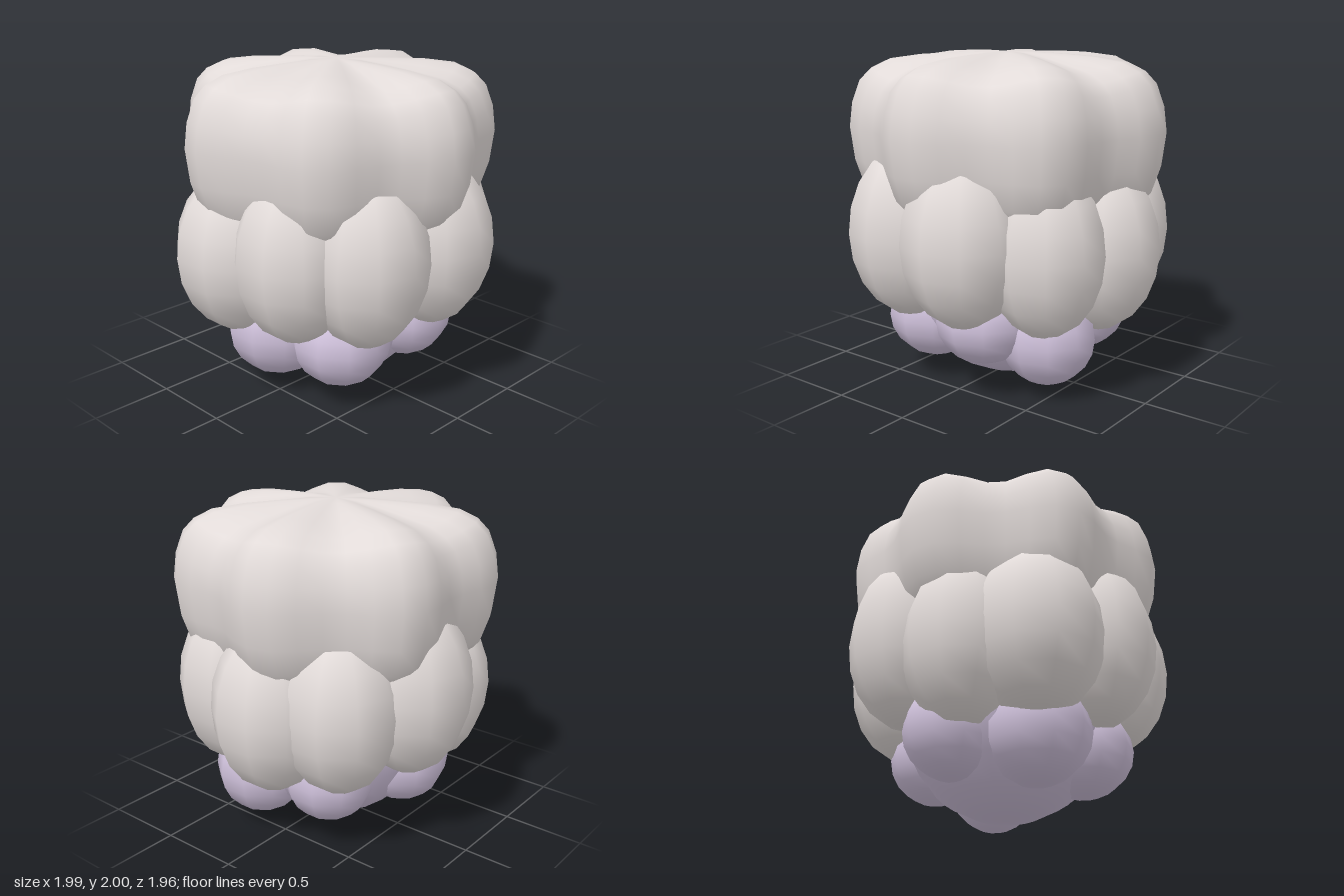
import * as THREE from 'three';
import { mergeVertices } from 'three/addons/utils/BufferGeometryUtils.js';

const stone = new THREE.MeshStandardMaterial({ color: 0xe2dbd9 });
stone.name = 'warm grey';
const lilac = new THREE.MeshStandardMaterial({ color: 0xcfc1db });
lilac.name = 'pale lilac';

// Lathed cap whose radius swells into seven lobes, with shallow grooves over the shoulder
function lobedCap() {
  const profile = [
    [0, 1.0], [0.6, 1.03], [0.83, 1.1], [0.92, 1.2], [0.975, 1.36], [1, 1.56],
    [0.98, 1.71], [0.93, 1.84], [0.86, 1.91], [0.75, 1.96], [0.56, 1.985],
    [0.37, 1.995], [0.18, 2.0], [0, 2.0],
  ].map(([r, y]) => new THREE.Vector2(r, y));
  let geo = new THREE.LatheGeometry(profile, 42);
  const p = geo.attributes.position;
  for (let i = 0; i < p.count; i++) {
    const x = p.getX(i), y = p.getY(i), z = p.getZ(i);
    const wave = Math.cos(7 * Math.atan2(z, x));
    const s = 0.91 * (1 + 0.068 * wave);
    const groove = 0.06 * (1 - wave) / 2
      * THREE.MathUtils.smoothstep(Math.hypot(x, z), 0.05, 0.75)
      * THREE.MathUtils.smoothstep(y, 1.5, 1.95);
    p.setXYZ(i, x * s, y - groove, z * s);
  }
  // weld the seam so the shading stays smooth
  geo.deleteAttribute('uv');
  geo.deleteAttribute('normal');
  geo = mergeVertices(geo, 1e-4);
  geo.computeVertexNormals();
  return geo;
}

// Ring of bulging ellipsoids: [angle in degrees, distance, height, width radius, tall radius]
function addRing(group, name, material, rows, widthSegments, heightSegments) {
  const ring = new THREE.Group();
  ring.name = name + 'Ring';
  const ball = new THREE.SphereGeometry(1, widthSegments, heightSegments);
  for (const [deg, dist, y, w, h] of rows) {
    const a = THREE.MathUtils.degToRad(deg);
    const m = new THREE.Mesh(ball, material);
    m.name = name;
    m.position.set(dist * Math.cos(a), y, dist * Math.sin(a));
    m.scale.set(w, h, w);
    ring.add(m);
  }
  group.add(ring);
}

export function createModel() {
  const model = new THREE.Group();
  model.name = 'lobedCluster';

  const cap = new THREE.Mesh(lobedCap(), stone);
  cap.name = 'lobedCap';
  model.add(cap);

  // Nine tall bulges around the middle
  addRing(model, 'middleBulge', stone, [
    [-14, 0.645, 0.98, 0.37, 0.51],
    [30, 0.645, 0.96, 0.365, 0.52],
    [67, 0.62, 0.96, 0.365, 0.51],
    [109, 0.64, 0.9, 0.395, 0.5],
    [148, 0.59, 0.87, 0.36, 0.5],
    [189, 0.635, 1.0, 0.365, 0.53],
    [229, 0.63, 0.93, 0.365, 0.51],
    [266, 0.63, 0.89, 0.365, 0.51],
    [304, 0.63, 0.92, 0.35, 0.51],
  ], 10, 10);

  // Six small round bulges below
  addRing(model, 'lowerBulge', lilac, [
    [-19, 0.45, 0.47, 0.3, 0.27],
    [42, 0.46, 0.4, 0.3, 0.28],
    [101, 0.43, 0.4, 0.32, 0.31],
    [166, 0.45, 0.43, 0.29, 0.29],
    [236, 0.46, 0.43, 0.28, 0.28],
    [296, 0.5, 0.37, 0.29, 0.3],
  ], 10, 10);

  // Rounded core closing the underside
  const core = new THREE.Mesh(new THREE.SphereGeometry(0.64, 16, 10), lilac);
  core.name = 'core';
  core.position.y = 0.64;
  model.add(core);

  return model;
}
